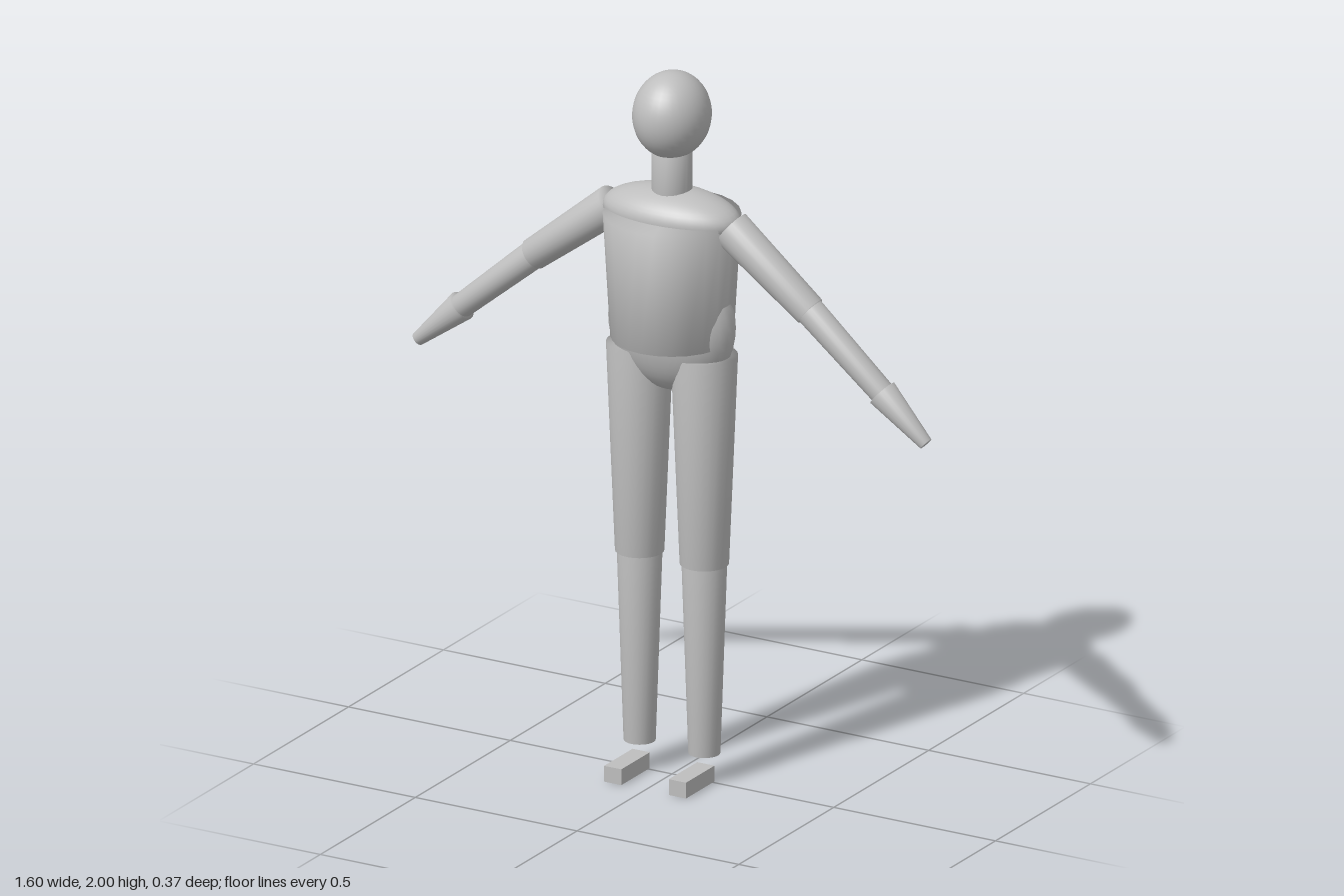
import * as THREE from 'three';
import { mergeVertices } from 'three/addons/utils/BufferGeometryUtils.js';

const grey = new THREE.MeshStandardMaterial({ color: 0xbebebe });
grey.name = 'plain grey';

export function createModel() {
  const model = new THREE.Group();
  model.name = 'mannequin';

  function add(name, geometry, x = 0, y = 0, z = 0) {
    const mesh = new THREE.Mesh(geometry, grey);
    mesh.name = name;
    mesh.position.set(x, y, z);
    model.add(mesh);
    return mesh;
  }

  function ellipsoid(name, y, rx, ry, rz) {
    add(name, new THREE.SphereGeometry(1, 32, 24).scale(rx, ry, rz), 0, y, 0);
  }

  // Capped tapered cylinder from a to b, shaded smoothly over its rims
  function limb(name, a, b, ra, rb) {
    const start = new THREE.Vector3(...a);
    const end = new THREE.Vector3(...b);
    const dir = end.clone().sub(start);
    let geometry = new THREE.CylinderGeometry(rb, ra, dir.length(), 24);
    geometry.deleteAttribute('normal');
    geometry.deleteAttribute('uv');
    geometry = mergeVertices(geometry, 1e-4);
    geometry.computeVertexNormals();
    const mid = start.add(end).multiplyScalar(0.5);
    const mesh = add(name, geometry, mid.x, mid.y, mid.z);
    mesh.quaternion.setFromUnitVectors(new THREE.Vector3(0, 1, 0), dir.normalize());
  }

  // Head and torso
  ellipsoid('head', 1.88, 0.104, 0.12, 0.114);
  limb('neck', [0, 1.6, 0], [0, 1.78, 0], 0.055, 0.055);
  ellipsoid('shoulders', 1.6, 0.205, 0.075, 0.11);
  limb('chest', [0, 1.25, 0], [0, 1.6, 0], 0.165, 0.185);
  ellipsoid('pelvis', 1.29, 0.187, 0.19, 0.11);

  // Arms and legs, mirrored
  for (const [side, s] of [['left', 1], ['right', -1]]) {
    const shoulder = [s * 0.183, 1.59, 0];
    const elbow = [s * 0.427, 1.4, 0];
    const wrist = [s * 0.65, 1.21, 0];
    limb(side + 'UpperArm', shoulder, elbow, 0.054, 0.044);
    limb(side + 'Forearm', elbow, wrist, 0.04, 0.034);
    limb(side + 'Hand', wrist, [s * 0.785, 1.09, 0], 0.042, 0.019);

    limb(side + 'Thigh', [s * 0.1, 0.62, 0], [s * 0.1, 1.215, 0], 0.066, 0.09);
    limb(side + 'Shin', [s * 0.1, 0.08, 0], [s * 0.1, 0.62, 0], 0.043, 0.061);
    add(side + 'Foot', new THREE.BoxGeometry(0.053, 0.045, 0.15), s * 0.1, 0.0225, 0.067);
  }

  return model;
}
